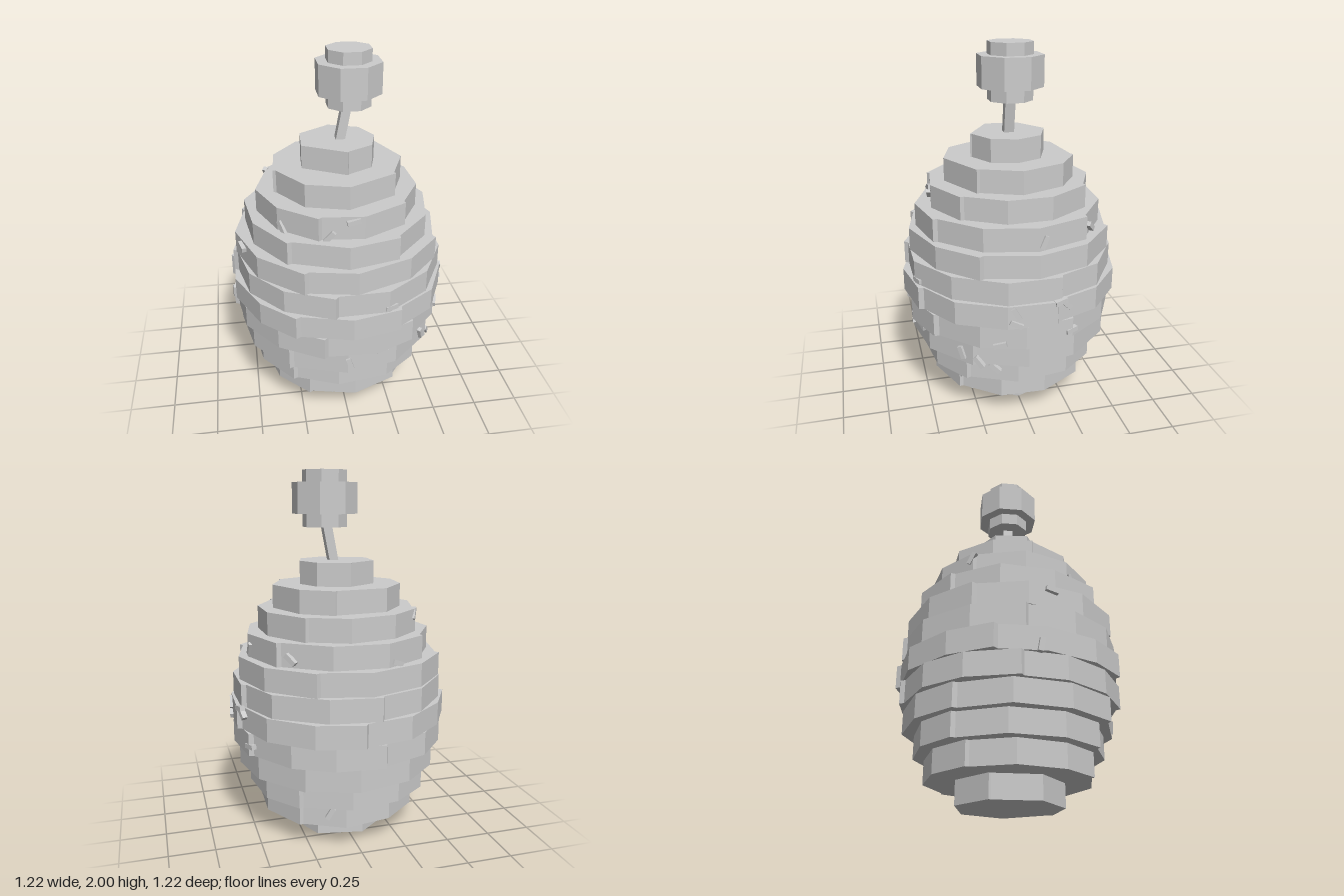
import * as THREE from 'three';

const rad = THREE.MathUtils.degToRad;

// Tiers from the bottom up: [radius, sides, angle of a front corner in degrees] or [radius, corner angles]
const tiers = [
  [0.287, [0, 60, 103, 152, 205, 255, 307]],
  [0.446, 11, 83],
  [0.506, 12, 96],
  [0.562, 12, 93],
  [0.59, 14, 79],
  [0.606, 14, 90],
  [0.587, 13, 69],
  [0.566, 12, 85],
  [0.515, 11, 92],
  [0.445, 11, 78],
  [0.357, [0, 38, 87, 125, 165, 201, 238, 286, 318]],
  [0.212, [37, 81, 157, 208, 264, 315, 357]],
];
const tierHeight = 1.52 / tiers.length;

// Sprinkles: [angle around the body, height, tilt] in degrees, units, degrees
const sprinkles = [
  [87, 1.24, 12], [103, 1.16, 48], [138, 1.165, -60], [213, 1.24, 60],
  [164, 0.985, -10], [-8, 1.06, 65], [69, 0.78, 0], [9, 0.72, -60],
  [9, 0.66, -25], [-14, 0.755, 10], [-17, 0.735, -45], [172, 0.66, 80],
  [17, 0.53, 15], [72, 0.485, -15], [91, 0.445, -72], [39, 0.44, -70],
  [29, 0.4, -50], [21, 0.34, -42], [51, 0.23, -40], [248, 1.03, -20],
  [-47, 1.06, -40], [-22, 0.56, 5], [290, 0.21, 60],
];

function seeded(seed) {
  return () => {
    seed = (seed * 16807) % 2147483647;
    return seed / 2147483647;
  };
}

// Corner angles of a tier, slightly uneven when given as a side count
function corners([, sides, start], random) {
  if (Array.isArray(sides)) return sides;
  return Array.from({ length: sides }, (_, i) => start + (i * 360) / sides + (random() - 0.5) * 4);
}

// Flat slab with an uneven outline and a small step at every third corner
function tierGeometry(radius, angles, random) {
  const points = [];
  const add = (deg, r) => points.push(new THREE.Vector2(r * Math.cos(rad(deg)), -r * Math.sin(rad(deg))));
  angles.forEach((deg, i) => {
    const r = radius * (1 + (random() - 0.5) * 0.025);
    if (i % 3 === 1) {
      add(deg - 0.8, r * 0.975);
      add(deg + 0.8, r * 1.015);
    } else add(deg, r);
  });
  const geometry = new THREE.ExtrudeGeometry(new THREE.Shape(points), { depth: tierHeight, bevelEnabled: false });
  return geometry.rotateX(-Math.PI / 2);
}

export function createModel() {
  const model = new THREE.Group();
  const grey = new THREE.MeshStandardMaterial({ color: 0xcccccc, flatShading: true });
  grey.name = 'light grey';
  const random = seeded(41);

  const add = (name, geometry, parent = model) => {
    const mesh = new THREE.Mesh(geometry, grey);
    mesh.name = name;
    parent.add(mesh);
    return mesh;
  };

  // Egg-shaped body of stacked tiers
  const body = new THREE.Group();
  body.name = 'body';
  model.add(body);
  tiers.forEach((tier, i) => {
    const geometry = tierGeometry(tier[0], corners(tier, random), random);
    add('tier', geometry, body).position.y = i * tierHeight;
  });

  // Sprinkles lying against the tiers
  const sprinkleGroup = new THREE.Group();
  sprinkleGroup.name = 'sprinkles';
  model.add(sprinkleGroup);
  const stick = new THREE.BoxGeometry(0.07, 0.026, 0.028);
  for (const [deg, y, tilt] of sprinkles) {
    const r = tiers[Math.floor(y / tierHeight)][0] * 0.985;
    const sprinkle = add('sprinkle', stick, sprinkleGroup);
    sprinkle.position.set(r * Math.cos(rad(deg)), y, r * Math.sin(rad(deg)));
    sprinkle.rotation.set(0, rad(90 - deg), rad(tilt));
  }

  // Leaning stem
  const stem = new THREE.BoxGeometry(0.05, 0.2, 0.055);
  stem.applyMatrix4(new THREE.Matrix4().makeShear(0, 0, 0.19, 0, 0, 0));
  add('stem', stem).position.set(0.037, 1.61, 0);

  // Octagonal cherry in three steps: [half width, bottom, top]
  const cherry = new THREE.Group();
  cherry.name = 'cherry';
  cherry.position.x = 0.065;
  model.add(cherry);
  for (const [half, low, high] of [[0.113, 1.7, 1.77], [0.165, 1.77, 1.935], [0.113, 1.935, 2]]) {
    const r = half / Math.cos(Math.PI / 8);
    const geometry = new THREE.CylinderGeometry(r, r, high - low, 8).rotateY(Math.PI / 8);
    add('cherryTier', geometry, cherry).position.y = (low + high) / 2;
  }

  return model;
}
